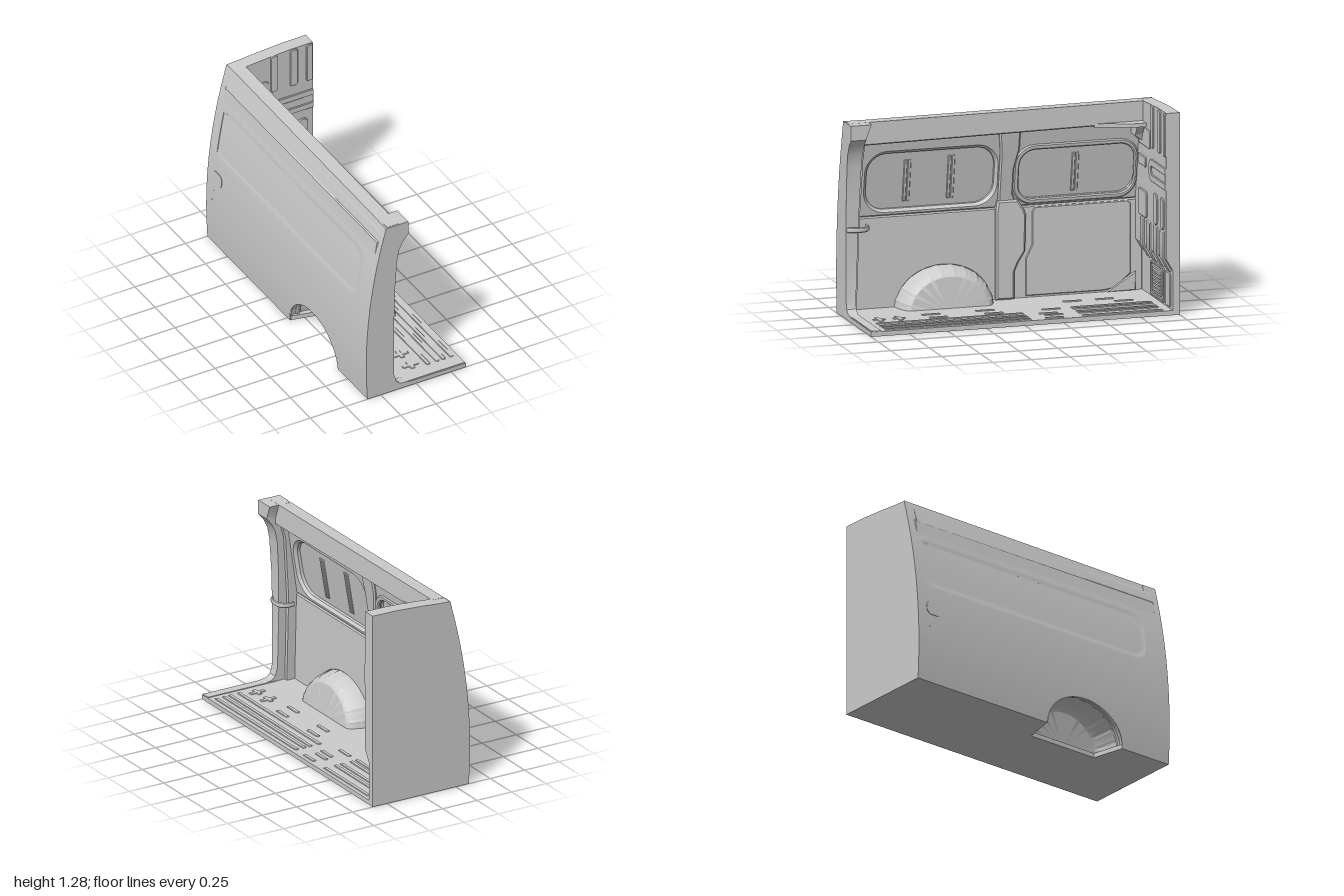
import * as THREE from 'three';
import { toCreasedNormals } from 'three/addons/utils/BufferGeometryUtils.js';

const ARCH = { z: 0.335, w: 0.32, h: 0.28 };
const EDGE = 0.353; // open side of the body
// Curve of the outer body side: x for a given height
const outer = (y) => -0.353 + 0.144 * (y - 0.25) ** 2;
const outerPts = (y0, y1, n = 20) =>
  Array.from({ length: n + 1 }, (_, i) => {
    const y = y0 + ((y1 - y0) * i) / n;
    return [outer(y), y];
  });

export function createModel() {
  const group = new THREE.Group();
  const mat = new THREE.MeshStandardMaterial({ color: 0xcccccc, side: THREE.DoubleSide });

  function add(name, geo, rule) {
    if (rule) {
      const p = geo.attributes.position, v = new THREE.Vector3();
      for (let i = 0; i < p.count; i++) {
        rule(v.fromBufferAttribute(p, i));
        p.setXYZ(i, v.x, v.y, v.z);
      }
    }
    const mesh = new THREE.Mesh(toCreasedNormals(geo, 0.5), mat);
    mesh.name = name;
    group.add(mesh);
  }
  const poly = (pts) => new THREE.Shape(pts.map((p) => new THREE.Vector2(p[0], p[1])));
  function rounded(x0, y0, x1, y1, r) {
    const s = new THREE.Shape();
    s.absarc(x1 - r, y1 - r, r, 0, Math.PI / 2);
    s.absarc(x0 + r, y1 - r, r, Math.PI / 2, Math.PI);
    s.absarc(x0 + r, y0 + r, r, Math.PI, Math.PI * 1.5);
    s.absarc(x1 - r, y0 + r, r, Math.PI * 1.5, Math.PI * 2);
    s.closePath();
    return s;
  }
  const extrude = (shape, depth, bevel = 0) =>
    new THREE.ExtrudeGeometry(shape, {
      depth: depth - bevel, curveSegments: 10, bevelEnabled: bevel > 0, bevelSize: bevel,
      bevelThickness: bevel, bevelOffset: -bevel, bevelSegments: 1,
    });
  // Shape drawn in (x, y), extruded from z0 to z1
  const alongZ = (shape, z0, z1, bevel) => extrude(shape, z1 - z0, bevel).translate(0, 0, z0);
  // Shape drawn in (-z, y), extruded from x0 to x1
  const alongX = (shape, x0, x1, bevel) =>
    extrude(shape, x1 - x0, bevel).rotateY(Math.PI / 2).translate(x0, 0, 0);
  // Shape drawn in (x, -z), extruded from y0 to y1
  const alongY = (shape, y0, y1, bevel) =>
    extrude(shape, y1 - y0, bevel).rotateX(-Math.PI / 2).translate(0, y0, 0);
  // Upper inner parts tilt inwards; top edges rise slightly towards the back
  const lean = (v) => { v.x += 0.165 * (v.y - 0.6); };
  const rise = (v) => { if (v.y > 1.2) v.y -= 0.007 * (v.z + 0.3); };

  // Outer body side with wheel opening and shallow window panel
  add('outerSkin', new THREE.PlaneGeometry(2, 1.25, 200, 90), (v) => {
    const z = v.x;
    let y = v.y + 0.625;
    const q = 1 - ((z - 0.33) / 0.3) ** 2;
    const bottom = q > 0 ? 0.245 * Math.sqrt(q) : 0;
    if (y < 0.35) y = bottom + (y * (0.35 - bottom)) / 0.35;
    const r = 0.1;
    const dx = Math.abs(z + 0.06) - 0.9 + r, dy = Math.abs(y - 0.83) - 0.16 + r;
    const d = Math.hypot(Math.max(dx, 0), Math.max(dy, 0)) + Math.min(Math.max(dx, dy), 0) - r;
    v.set(outer(y) + 0.004 * THREE.MathUtils.clamp(-d / 0.015, 0, 1), y, z);
    rise(v);
  });
  add('fuelFlap', alongX(rounded(0.82, 0.46, 0.93, 0.55, 0.035), -0.349, -0.335),
    (v) => { v.x += outer(v.y) - outer(0.48); });

  // Floor with wheel cut-out and pressed ribs
  add('floor', alongY(poly([[-0.343, -1], [EDGE, -1], [EDGE, 1], [-0.343, 1],
    [-0.343, -0.03], [-0.13, -0.08], [-0.13, -0.58], [-0.343, -0.63]]), 0, 0.03));
  const floorRib = (x, z0, z1, w = 0.026) =>
    add('floorRib', alongY(rounded(x - w / 2, -z1, x + w / 2, -z0, 0.008), 0.029, 0.035, 0.003));
  for (const x of [0.147, 0.212, 0.257, 0.312]) floorRib(x, -0.05, 0.9);
  for (const x of [0.085, 0.125, 0.195, 0.24, 0.315]) floorRib(x, -0.9, -0.38);
  for (const [x, z] of [[-0.08, -0.65], [-0.08, -0.44], [0, -0.75], [0.09, -0.25], [0.19, -0.2],
    [0.24, -0.22], [0.315, -0.2], [0, 0.15], [0.09, 0.12], [0, 0.5], [0.09, 0.48]])
    floorRib(x, z - 0.06, z + 0.06);
  for (const z of [0.72, 0.85]) {
    floorRib(0.045, z - 0.04, z + 0.04, 0.03);
    floorRib(0.045, z - 0.015, z + 0.015, 0.11);
  }
  add('floorEdge', new THREE.BoxGeometry(0.5, 0.006, 0.06).translate(0.1, 0.032, 0.965));

  // Bulkhead: back plate, then a thicker upper layer with a sloping lower edge
  const top = [[EDGE, 1.28], [0.18, 1.278], [0, 1.267], [-0.12, 1.257]];
  add('bulkhead', alongZ(poly([...outerPts(0, 1.252).reverse(), [EDGE, 0], ...top]), -1, -0.955));
  add('bulkheadUpper', alongZ(poly([...outerPts(0.28, 1.252).reverse(), [EDGE, 0.28], ...top]), -0.956, -0.912),
    (v) => { if (v.z > -0.93) v.y = Math.max(v.y, 0.355); });
  const onBulkhead = (name, x0, y0, x1, y1, r, z = -0.912, h = 0.008) =>
    add(name, alongZ(rounded(x0, y0, x1, y1, r), z - 0.002, z + h, 0.005));
  for (const [x0, x1] of [[0.052, 0.102], [0.19, 0.245], [0.305, 0.352]])
    onBulkhead('upperRib', x0, 1, x1, 1.272, 0.015);
  for (const [x0, x1, y] of [[0.11, 0.182, 0.73], [0.243, 0.315, 0.73], [-0.2, -0.025, 0.7]])
    onBulkhead('middleRib', x0, 0.53, x1, y, 0.03);
  // Lower ribs follow the sloping edge down to the vent level
  for (const [x0, x1] of [[-0.15, -0.09], [-0.035, 0.045], [0.11, 0.182], [0.243, 0.315]])
    add('lowerRib', alongX(poly([[0.914, 0.525], [0.96, 0.525], [0.96, 0.27], [0.947, 0.27], [0.904, 0.35],
      [0.904, 0.515]]), x0, x1));
  onBulkhead('sidePad', -0.2, 0.85, -0.05, 0.915, 0.008);
  onBulkhead('upperPad', -0.2, 0.98, 0.04, 1.1, 0.03, -0.912, 0.005);
  const bead = rounded(0.015, 0.79, 0.45, 0.93, 0.06);
  bead.holes.push(rounded(0.06, 0.833, 0.44, 0.885, 0.024));
  add('beadRing', alongZ(bead, -0.914, -0.904, 0.004), (v) => { v.x = Math.min(v.x, EDGE); });
  // Vent plate, louvres and access cover
  const vent = rounded(-0.088, 0.04, 0.188, 0.258, 0.02);
  vent.holes.push(rounded(-0.07, 0.055, 0.17, 0.243, 0.015));
  add('ventFrame', alongZ(vent, -0.956, -0.947, 0.004));
  onBulkhead('ventPlate', -0.045, 0.065, 0.14, 0.228, 0.015, -0.955, 0.008);
  for (let i = 0; i < 6; i++)
    onBulkhead('louvre', -0.028, 0.083 + i * 0.023, 0.125, 0.095 + i * 0.023, 0.005, -0.947, 0.008);
  onBulkhead('accessCover', 0.215, 0.04, 0.312, 0.258, 0.015, -0.955, 0.008);

  // Lower inner wall, notched around the wheel
  const notch = Array.from({ length: 25 }, (_, i) => {
    const a = Math.PI * (1 - i / 24);
    return [-ARCH.z + 0.95 * ARCH.w * Math.cos(a), 0.02 + 0.9 * ARCH.h * Math.sin(a)];
  });
  add('lowerWall', alongX(poly([[-0.97, 0.02], ...notch, [0.96, 0.02], [0.96, 0.61], [-0.97, 0.61]]),
    -0.29, -0.267, 0.008));
  add('lowerPanel', alongX(poly([[0.2, 0.04], [0.7, 0.04], [0.78, 0.05], [0.88, 0.14], [0.88, 0.58],
    [0.86, 0.6], [0.26, 0.6], [0.24, 0.57], [0.24, 0.36], [0.2, 0.28]]), -0.272, -0.262, 0.005));
  add('cornerGusset', alongX(poly([[0.72, 0.03], [0.91, 0.03], [0.91, 0.15]]), -0.27, -0.25, 0.006));

  // Upper inner frame with two rounded window openings and recessed panes
  const frame = poly([[-0.97, 0.6], [0.96, 0.6], [0.96, 1.14], [-0.97, 1.14]]);
  frame.holes.push(rounded(-0.84, 0.65, -0.01, 1.015, 0.125), rounded(0.13, 0.655, 0.9, 0.99, 0.11));
  add('windowFrame', alongX(frame, -0.318, -0.272, 0.018), lean);
  add('windowPane', alongX(rounded(-0.9, 0.62, 0.93, 1.06, 0.02), -0.318, -0.311), lean);
  const rim = rounded(0.11, 0.62, 0.915, 1.01, 0.13);
  rim.holes.push(rounded(0.145, 0.655, 0.89, 0.975, 0.1));
  add('windowRim', alongX(rim, -0.28, -0.262, 0.008), lean);
  for (const [u, y0, y1] of [[-0.57, 0.69, 0.96], [-0.285, 0.69, 0.97], [0.52, 0.68, 0.93]])
    for (const s of [-0.012, 0.012])
      add('paneStrut', alongX(rounded(u + s - 0.01, y0, u + s + 0.01, y1, 0.005), -0.312, -0.303, 0.003), lean);

  // Centre pillar: lower part steps sideways, upper part runs between the windows
  add('lowerPillar', alongX(poly([[0.0, 0.03], [0.12, 0.03], [0.12, 0.2], [0.145, 0.26], [0.19, 0.33],
    [0.195, 0.56], [0.18, 0.6], [0.14, 0.66], [0.01, 0.66], [0.0, 0.6]]), -0.275, -0.235, 0.012));
  add('upperPillar', alongX(poly([[0.015, 0.62], [0.14, 0.62], [0.11, 0.7], [0.11, 0.86], [0.14, 0.99],
    [0.14, 1.12], [0.0, 1.12], [0.015, 0.98]]), -0.28, -0.255, 0.01), lean);

  // Roof rail and the gusset joining it to the bulkhead
  add('roofRail', alongZ(poly([[outer(1.1), 1.1], [-0.13, 1.1], [-0.12, 1.108], [-0.12, 1.253],
    [outer(1.25), 1.25]]), -0.93, 0.99), (v) => {
    rise(v);
    if (v.y < 1.2) v.y -= 0.012 * v.z - 0.008;
  });
  add('railGusset', alongY(poly([[-0.2, 0.92], [-0.2, 0.6], [-0.12, 0.6], [-0.105, 0.68], [-0.06, 0.79],
    [-0.05, 0.83], [-0.05, 0.92]]), 1.108, 1.132));
  add('gussetWeb', alongZ(poly([[-0.22, 0.99], [-0.125, 1.0], [-0.1, 1.06], [-0.07, 1.11], [-0.22, 1.11]]),
    -0.92, -0.86), (v) => { if (v.z > -0.9) v.y = Math.max(v.y, 1.04); });

  // Front pillar with curved inner edge, leaning back towards the top
  const inner = [[-0.05, 0.02], [-0.05, 0.033], [-0.11, 0.04], [-0.14, 0.065], [-0.155, 0.12], [-0.156, 0.5],
    [-0.15, 0.75], [-0.135, 0.97], [-0.12, 1.05], [-0.09, 1.11], [-0.055, 1.15], [-0.055, 1.244]];
  add('frontPillar', alongZ(poly([...outerPts(0, 1.242).reverse(), ...inner]), 0.94, 1),
    (v) => { if (v.z < 0.97) v.z -= 0.035 * v.y; });
  add('pillarReturn', alongZ(poly([[-0.31, 0.03], [-0.21, 0.03], [-0.21, 0.6], [-0.18, 1], [-0.15, 1.1], [-0.24, 1.1],
    [-0.28, 0.8]]), 0.915, 0.95), (v) => { v.z -= 0.035 * v.y; });
  add('pillarHeader', alongZ(poly([[-0.2, 1.13], [-0.075, 1.13], [-0.055, 1.16], [-0.055, 1.244],
    [-0.2, 1.244]]), 0.9, 0.99), (v) => { if (v.z < 0.95 && v.y > 1.2) v.z -= 0.035; });

  // Strap loop around the front pillar
  const loop = new THREE.CatmullRomCurve3([[-0.22, 0.85], [-0.17, 0.85], [-0.135, 0.88], [-0.13, 0.94],
    [-0.145, 0.985], [-0.2, 0.99]].map(([x, z]) => new THREE.Vector3(x, 0, z)));
  add('strapLoop', new THREE.TubeGeometry(loop, 20, 0.008, 8).scale(1, 2.2, 1).translate(0, 0.565, 0));

  // Ribbed wheel housing: half rings swept from the outer opening to a leaning inner face
  const rings = [[0.93, null], [0.98, -0.32], [1, -0.27], [0.97, -0.21], [0.92, -0.16], [0.86, -0.13],
    [0.8, -0.118], [0, -0.118]];
  add('wheelHousing', new THREE.PlaneGeometry(1, 1, 108, rings.length - 1), (v) => {
    const a = Math.PI * (v.x + 0.5);
    const k = Math.round((v.y + 0.5) * (rings.length - 1));
    const rib = k > 1 && k < 6 && Math.cos(a * 22) > 0.75 ? 0.012 : 0;
    const s = rings[k][0] + rib;
    const y = s * ARCH.h * Math.sin(a);
    v.set(k ? rings[k][1] - 0.12 * y : outer(y), y, ARCH.z - s * ARCH.w * Math.cos(a));
  });
  return group;
}
